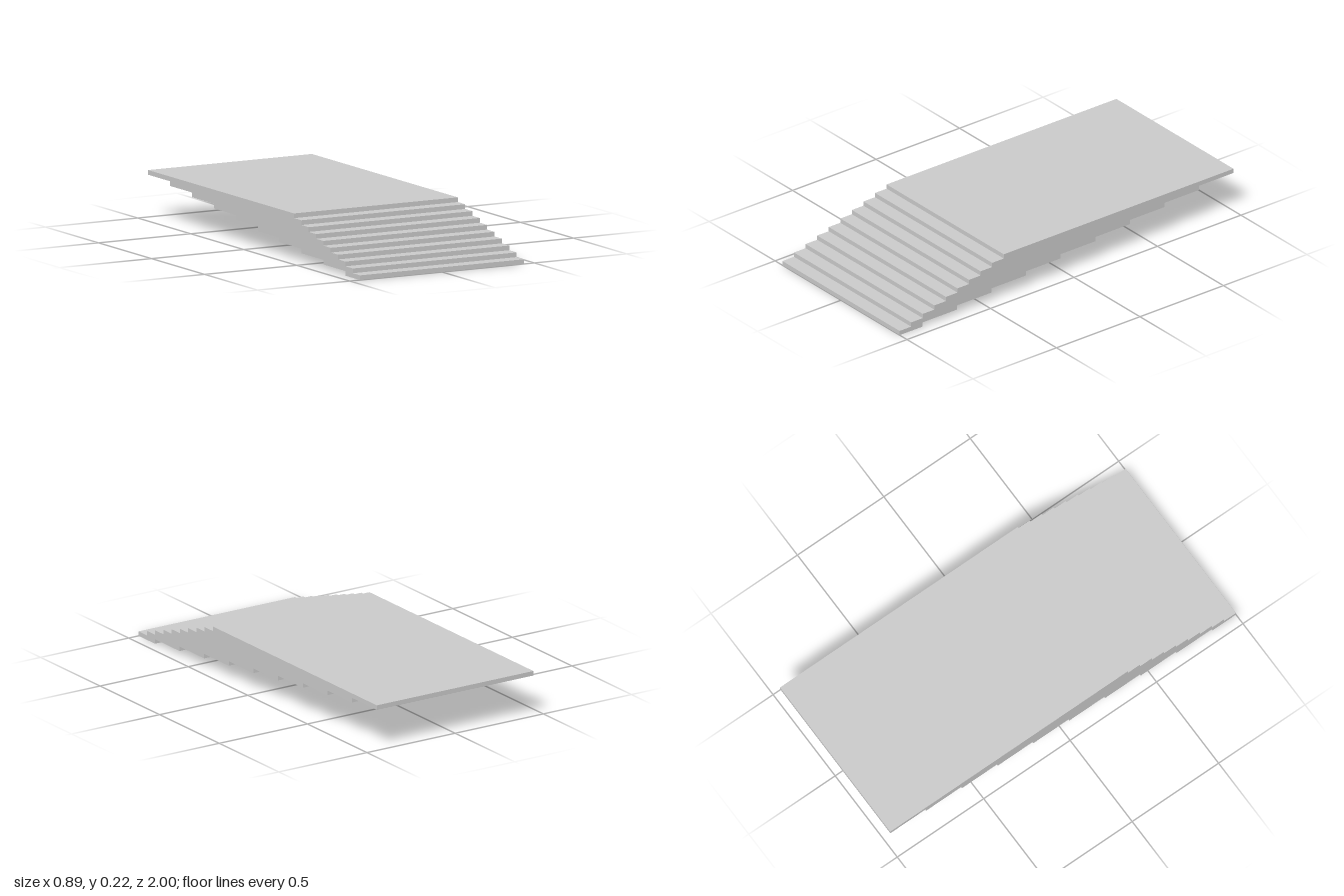
import * as THREE from 'three';

const STEPS = 10;
const WIDTH = 0.888;
const RISE = 0.0224;        // height of one step
const TREAD = 0.0693;       // setback of each step at the front
const UNDERSIDE = 0.207;    // overhang of each step at the back
const FIRST_BACK = 0.863;   // back edge of the lowest step

export function createModel() {
  const group = new THREE.Group();
  group.name = 'steppedPlatform';

  // Side profile (z, y): down the front steps, then up the stepped underside
  const points = [];
  for (let i = STEPS - 1; i >= 0; i--) {
    const z = 1 - i * TREAD;
    points.push(new THREE.Vector2(z, (i + 1) * RISE), new THREE.Vector2(z, i * RISE));
  }
  for (let i = 0; i < STEPS; i++) {
    const z = FIRST_BACK - i * UNDERSIDE;
    points.push(new THREE.Vector2(z, i * RISE), new THREE.Vector2(z, (i + 1) * RISE));
  }

  // Sweep the profile across the width
  const geometry = new THREE.ExtrudeGeometry(new THREE.Shape(points), {
    depth: WIDTH,
    bevelEnabled: false,
  });
  geometry.translate(0, 0, -WIDTH / 2);
  geometry.rotateY(-Math.PI / 2);

  const stairs = new THREE.Mesh(
    geometry,
    new THREE.MeshStandardMaterial({ color: 0xcccccc, flatShading: true })
  );
  stairs.name = 'stairsAndLanding';
  group.add(stairs);
  return group;
}
